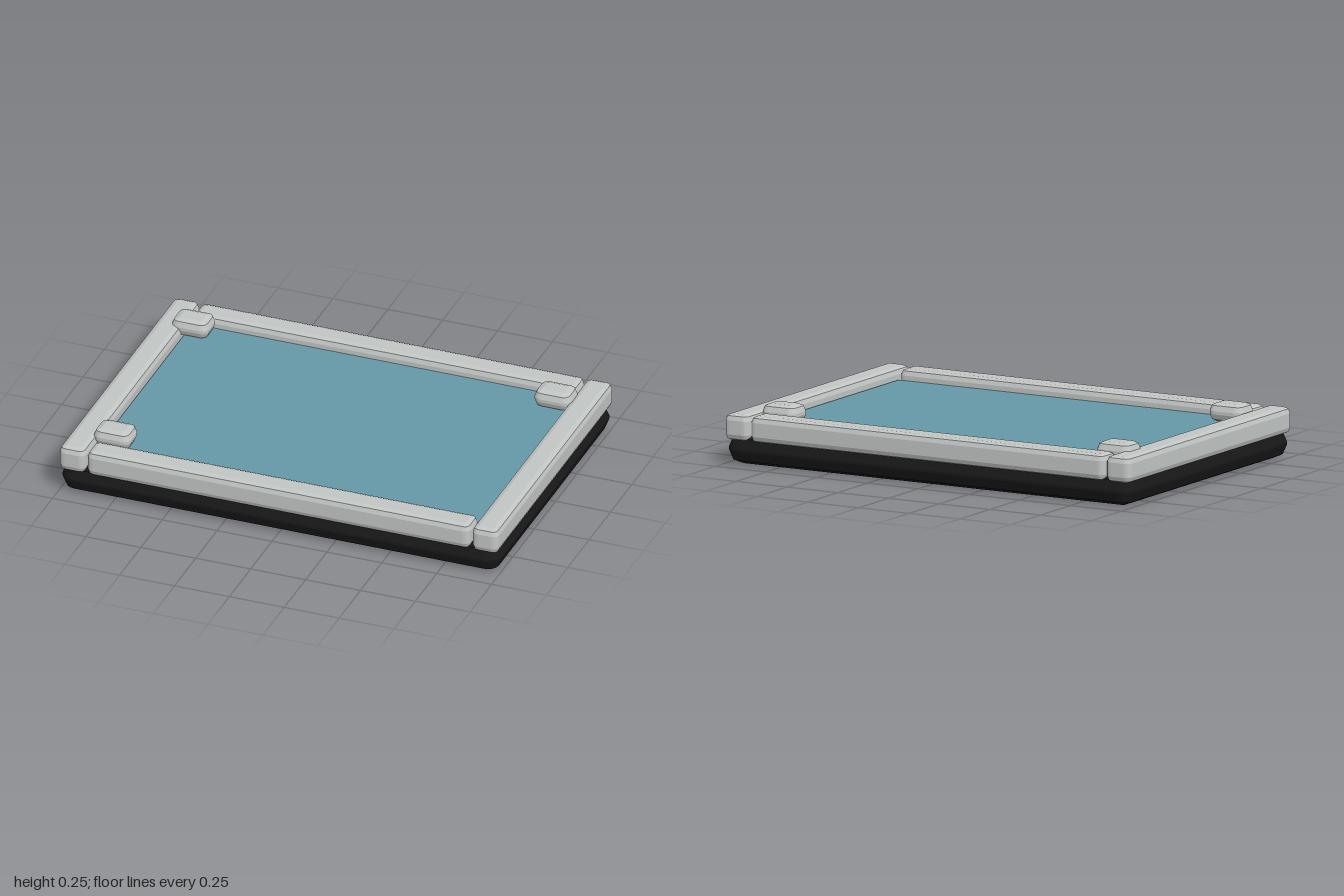
import * as THREE from 'three';

const makeMaterial = (name, color) => {
  const m = new THREE.MeshStandardMaterial({ color });
  m.name = name;
  return m;
};

// Slab with bevelled edges and rounded plan corners, standing on y = 0, centred in x and z
function bevelledSlab(w, h, d, bevel) {
  const r = bevel * 1.1, x = w / 2, z = d / 2, q = Math.PI / 2;
  const s = new THREE.Shape();
  s.absarc(x - r, z - r, r, 0, q);
  s.absarc(-x + r, z - r, r, q, 2 * q);
  s.absarc(-x + r, -z + r, r, 2 * q, 3 * q);
  s.absarc(x - r, -z + r, r, 3 * q, 4 * q);
  s.closePath();
  const g = new THREE.ExtrudeGeometry(s, {
    depth: h - 2 * bevel, curveSegments: 2, bevelEnabled: true,
    bevelThickness: bevel, bevelSize: bevel, bevelOffset: -bevel, bevelSegments: 2,
  });
  g.translate(0, 0, bevel);
  g.rotateX(-Math.PI / 2);
  return g;
}

export function createModel() {
  const model = new THREE.Group();
  model.name = 'framedTray';
  const black = makeMaterial('black base', 0x171817);
  const grey = makeMaterial('light grey frame', 0xc0c4c2);
  const blue = makeMaterial('blue panel', 0x6497a6);

  const add = (name, geometry, material, x, y, z) => {
    const mesh = new THREE.Mesh(geometry, material);
    mesh.name = name;
    mesh.position.set(x, y, z);
    model.add(mesh);
  };

  // Base slab and inset panel
  add('base', bevelledSlab(2, 0.13, 1.37, 0.06), black, 0, 0, 0);
  add('panel', new THREE.BoxGeometry(1.745, 0.05, 1.13), blue, 0, 0.145, 0);

  // Frame: two full-length side bars, two bars between them
  const sideBar = bevelledSlab(0.12, 0.115, 1.37, 0.027);
  const crossBar = bevelledSlab(1.745, 0.115, 0.12, 0.027);
  for (const s of [1, -1]) {
    add(s > 0 ? 'leftBar' : 'rightBar', sideBar, grey, s * 0.94, 0.103, 0);
    add(s > 0 ? 'frontBar' : 'backBar', crossBar, grey, 0, 0.103, s * 0.625);
  }

  // Corner clips on three corners
  const clip = bevelledSlab(0.168, 0.08, 0.13, 0.033);
  add('backRightClip', clip, grey, -0.845, 0.17, -0.505);
  add('backLeftClip', clip, grey, 0.81, 0.17, -0.495);
  add('frontRightClip', clip, grey, -0.815, 0.17, 0.485);

  return model;
}
